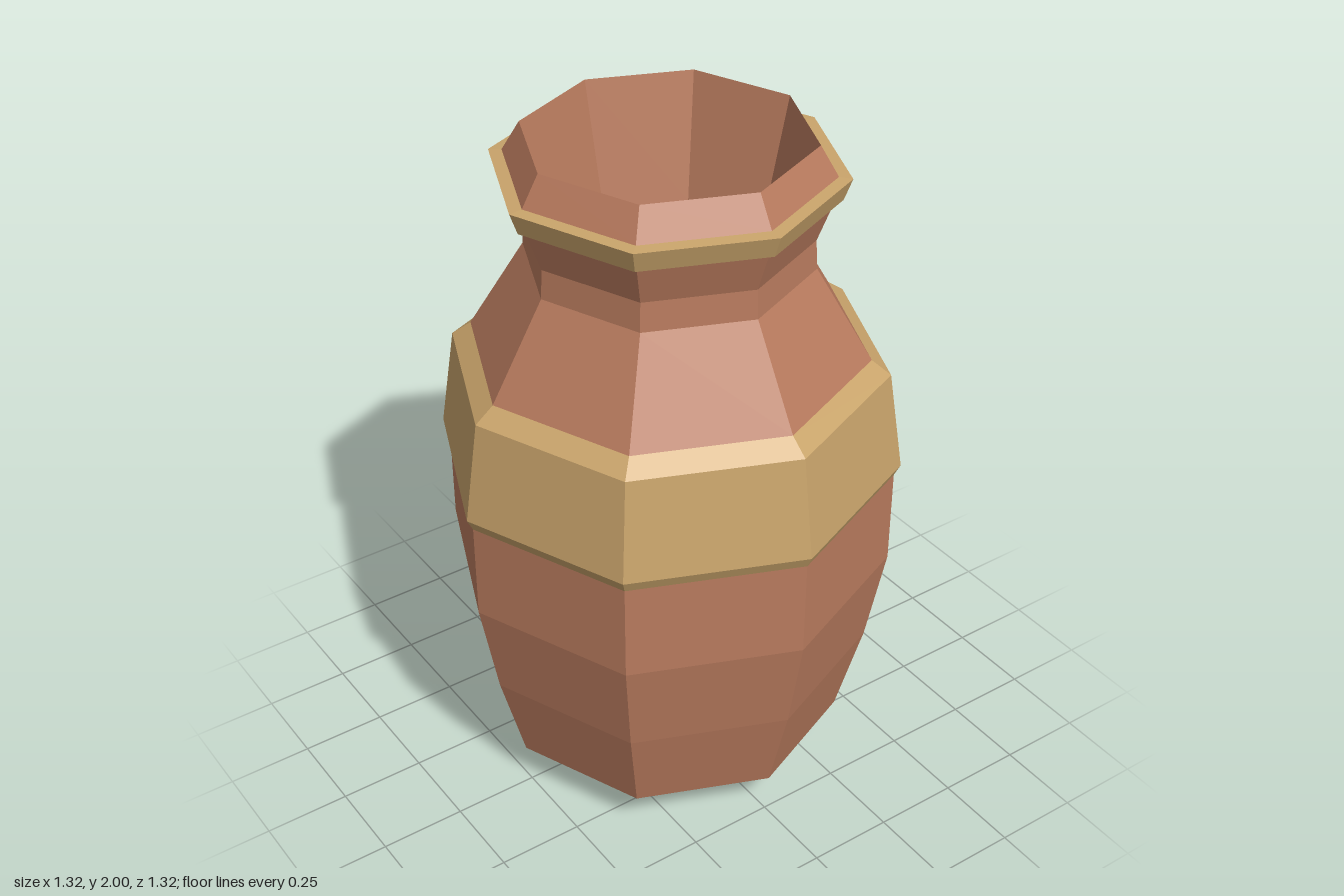
import * as THREE from 'three';

const clay = new THREE.MeshStandardMaterial({ color: 0xb97b5e });
clay.name = 'terracotta';
const gold = new THREE.MeshStandardMaterial({ color: 0xc9a46b });
gold.name = 'ochre';

// Eight-sided faceted turning of a [radius, height] profile, corners on the axes
function turned(name, profile, material) {
  const points = profile.map(([r, y]) => new THREE.Vector2(r, y));
  const geometry = new THREE.LatheGeometry(points, 8).toNonIndexed();
  geometry.computeVertexNormals();
  const mesh = new THREE.Mesh(geometry, material);
  mesh.name = name;
  return mesh;
}

export function createModel() {
  const group = new THREE.Group();
  group.name = 'vase';

  // Flat base, bevelled foot and swelling belly
  group.add(turned('belly', [
    [0, 0], [0.33, 0], [0.515, 0.13], [0.59, 0.415], [0.643, 0.71], [0.643, 1.0],
  ], clay));

  // Wide raised band around the shoulder
  group.add(turned('shoulderBand', [
    [0.643, 1.0], [0.66, 1.035], [0.615, 1.33], [0.56, 1.372],
  ], gold));

  // Sloping shoulder and narrow neck
  group.add(turned('neck', [
    [0.56, 1.372], [0.4, 1.64], [0.395, 1.725], [0.44, 1.85],
  ], clay));

  // Thin ring under the lip
  group.add(turned('lipRing', [
    [0.44, 1.85], [0.46, 1.85], [0.482, 1.912], [0.445, 1.915],
  ], gold));

  // Lip, inner wall and shallow conical inside floor
  group.add(turned('lipAndInside', [
    [0.445, 1.915], [0.395, 2], [0.315, 1.64], [0, 1.47],
  ], clay));

  return group;
}
